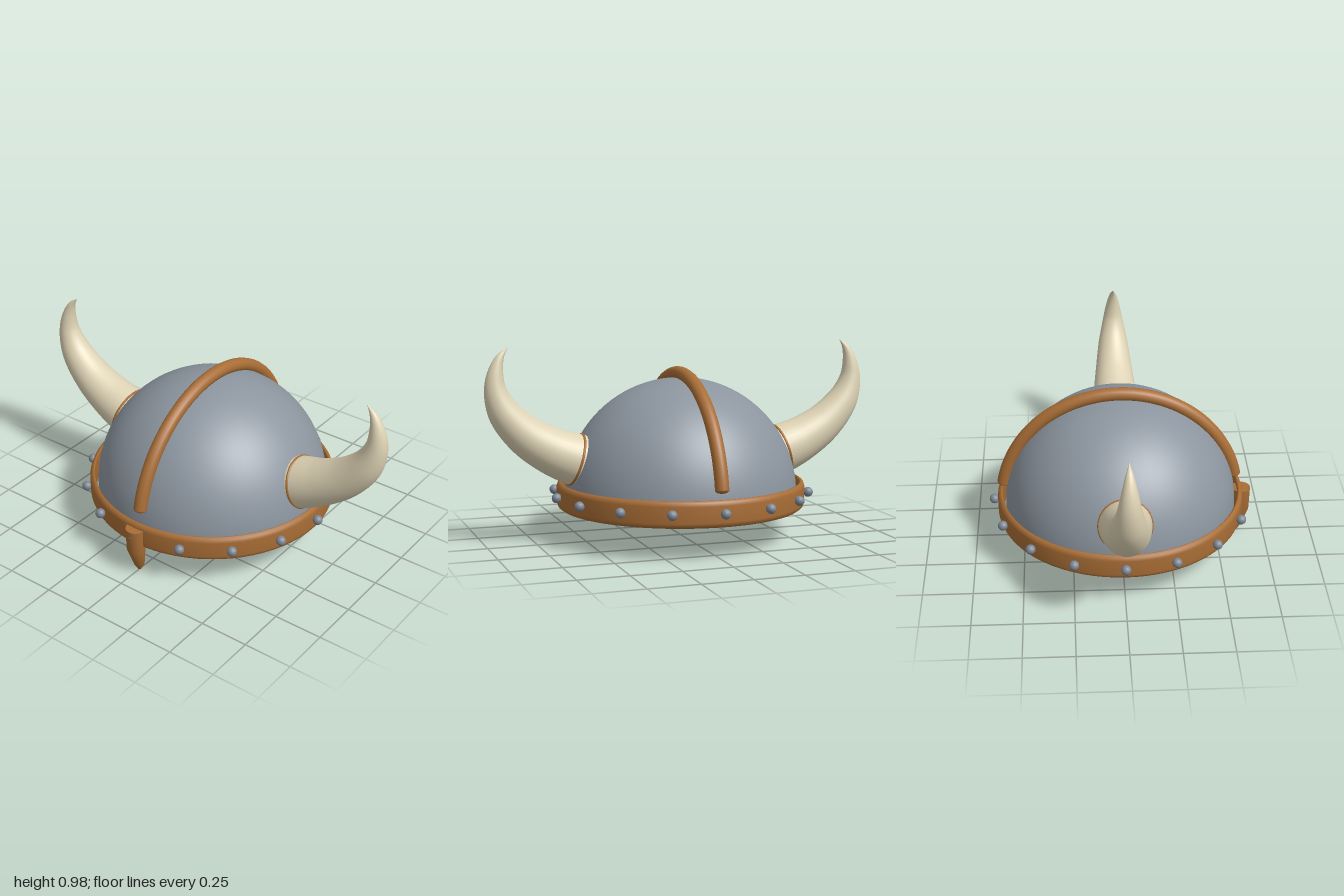
import * as THREE from 'three';
import { mergeVertices, toCreasedNormals } from 'three/addons/utils/BufferGeometryUtils.js';

const mat = (color, extra = {}) => new THREE.MeshStandardMaterial({ color, ...extra });
const steel = mat(0x8c959f, { side: THREE.DoubleSide });
const studSteel = mat(0x7d8794);
const leather = mat(0xa86d35);
const bone = mat(0xddd2b4);

function add(parent, name, geometry, material) {
  const mesh = new THREE.Mesh(geometry, material);
  mesh.name = name;
  parent.add(mesh);
  return mesh;
}

const profile = (pts) => pts.map(([r, y]) => new THREE.Vector2(r, y));

// Tube whose radius follows a list of [x, y, radius] stations
function taperedTube(stations, rows, sides) {
  const curve = new THREE.CatmullRomCurve3(stations.map(([x, y]) => new THREE.Vector3(x, y, 0)));
  const radii = new THREE.SplineCurve(stations.map((s, i) => new THREE.Vector2(i, s[2])));
  const geo = new THREE.TubeGeometry(curve, rows, 1, sides);
  const pos = geo.attributes.position;
  const v = new THREE.Vector3();
  for (let i = 0; i <= rows; i++) {
    const u = i / rows;
    const centre = curve.getPointAt(u);
    const r = radii.getPoint(curve.getUtoTmapping(u)).y;
    for (let j = 0; j <= sides; j++) {
      const k = i * (sides + 1) + j;
      v.fromBufferAttribute(pos, k).sub(centre).multiplyScalar(r).add(centre);
      pos.setXYZ(k, v.x, v.y, v.z);
    }
  }
  geo.deleteAttribute('uv');
  geo.deleteAttribute('normal');
  const merged = mergeVertices(geo, 1e-5);
  merged.computeVertexNormals();
  return merged;
}

function makeHorn(name) {
  const horn = new THREE.Group();
  horn.name = name;
  const stations = [
    [0.505, 0.405, 0.13], [0.553, 0.42, 0.13], [0.67, 0.468, 0.117], [0.8, 0.55, 0.1],
    [0.904, 0.663, 0.08], [0.947, 0.775, 0.056], [0.945, 0.865, 0.038],
    [0.92, 0.94, 0.019], [0.884, 0.982, 0.002],
  ];
  add(horn, 'hornCurve', taperedTube(stations, 48, 32), bone);

  // Base pieces share one tilted axis (local +z points out along the horn)
  const base = new THREE.Group();
  base.name = 'hornBase';
  base.position.set(0.505, 0.405, 0);
  base.lookAt(0.553, 0.42, 0);
  horn.add(base);
  add(base, 'hornEnd', new THREE.CircleGeometry(0.13, 32).rotateY(Math.PI), bone);
  const sleeve = new THREE.CylinderGeometry(0.132, 0.132, 0.028, 32, 1, true);
  add(base, 'hornSleeve', sleeve.rotateX(Math.PI / 2).translate(0, 0, 0.014), leather);
  add(base, 'hornCollar', new THREE.TorusGeometry(0.128, 0.007, 8, 40), leather).position.z = 0.05;
  return horn;
}

export function createModel() {
  const helmet = new THREE.Group();
  helmet.name = 'hornedHelmet';

  // Open bowl
  const dome = new THREE.SphereGeometry(0.59, 64, 24, 0, Math.PI * 2, 0, Math.PI / 2);
  add(helmet, 'dome', dome, steel).position.y = 0.22;

  // Rim band with rounded edges
  const band = new THREE.LatheGeometry(profile([
    [0.604, 0.166], [0.609, 0.16], [0.614, 0.16], [0.625, 0.168], [0.631, 0.185], [0.631, 0.265],
    [0.625, 0.282], [0.614, 0.29], [0.609, 0.29], [0.604, 0.284], [0.604, 0.166],
  ]), 72);
  add(helmet, 'rimBand', band, leather);

  // Studs around the band
  const stud = new THREE.SphereGeometry(0.025, 14, 10);
  for (let i = 0; i < 16; i++) {
    const a = (i * Math.PI) / 8;
    add(helmet, 'stud', stud, studSteel).position.set(Math.sin(a) * 0.65, 0.23, Math.cos(a) * 0.65);
  }

  // Crest running front to back, with softly rounded ends
  const crest = new THREE.Group();
  crest.name = 'crest';
  crest.position.set(0, 0.23, -0.004);
  crest.rotation.y = -Math.PI / 2;
  helmet.add(crest);
  const [R, r] = [0.602, 0.034];
  const [a0, a1] = [12, 170].map(THREE.MathUtils.degToRad);
  add(crest, 'crestArch', new THREE.TorusGeometry(R, r, 16, 64, a1 - a0), leather).rotation.z = a0;
  for (const a of [a0, a1]) {
    const cap = add(crest, 'crestEnd', new THREE.SphereGeometry(r, 16, 12), leather);
    cap.position.set(R * Math.cos(a), R * Math.sin(a), 0);
    cap.rotation.z = a;
    cap.scale.y = 0.5;
  }

  // Nose guard: tapered peg whose lower end leans back
  const guard = new THREE.LatheGeometry(profile([
    [0, 0], [0.008, 0.003], [0.027, 0.035], [0.047, 0.14], [0.05, 0.265], [0, 0.265],
  ]), 16);
  const pos = guard.attributes.position;
  for (let i = 0; i < pos.count; i++) {
    const lean = 0.02 * Math.max(0, Math.min(1, (0.14 - pos.getY(i)) / 0.105));
    pos.setZ(i, pos.getZ(i) * 0.96 + 0.627 - lean);
  }
  add(helmet, 'noseGuard', toCreasedNormals(guard, 0.5), leather);

  // Horns
  const rightHorn = makeHorn('rightHorn');
  rightHorn.rotation.y = Math.PI;
  helmet.add(makeHorn('leftHorn'), rightHorn);

  return helmet;
}
